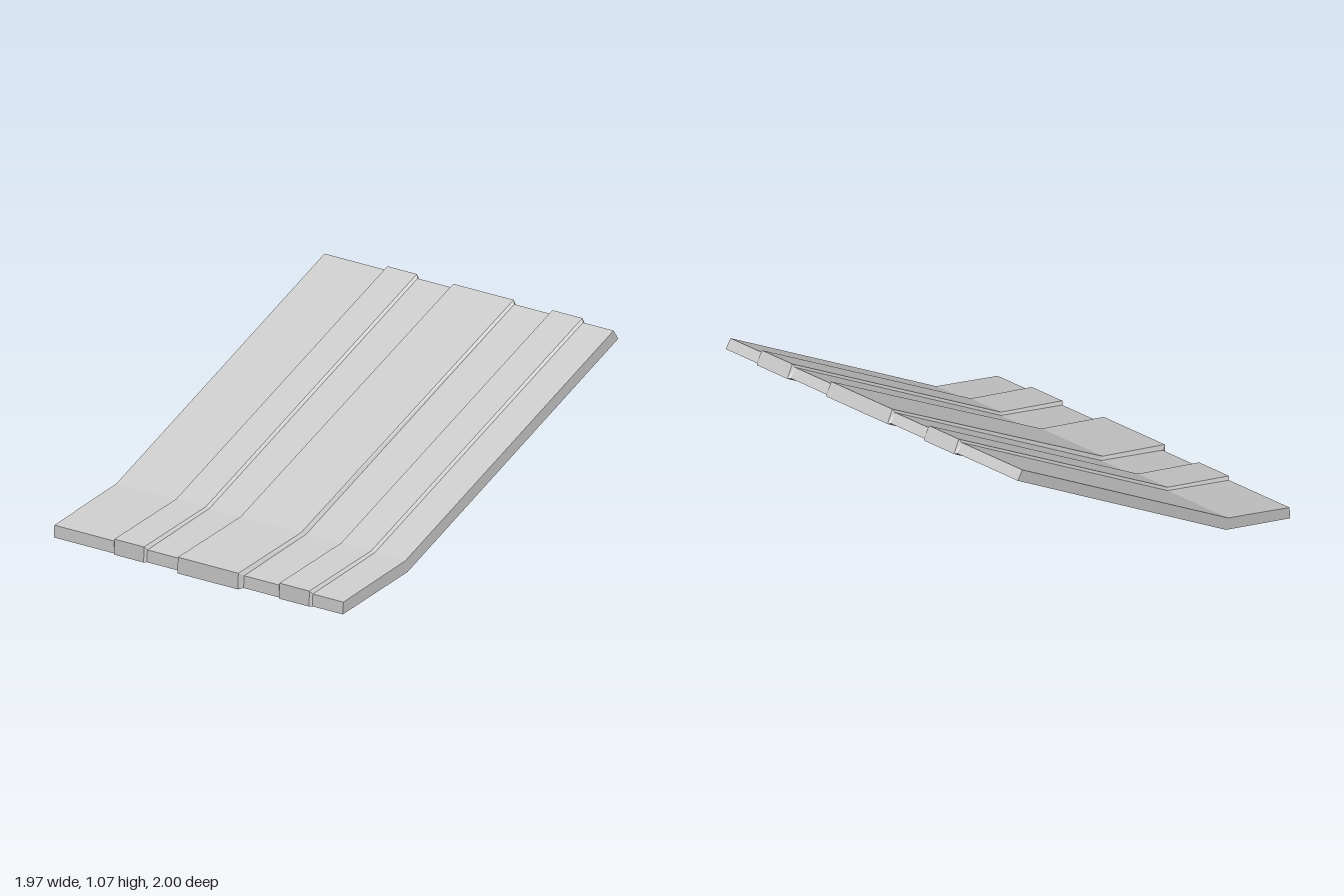
import * as THREE from 'three';

// Side profiles as [z, y]: front bottom, front top, bend top, back top, back bottom, bend bottom
const FLAT = [[0.972, 0.004], [0.968, 0.066], [0.525, 0.186], [-0.957, 1.052], [-0.99, 1.004], [0.51, 0.125]];
const RIB = [[0.982, 0.002], [0.98, 0.081], [0.54, 0.194], [-0.965, 1.07], [-1, 1], [0.514, 0.123]];
const WIDE_RIB = [[1, 0], [0.997, 0.082], [0.55, 0.196], [-0.965, 1.07], [-1, 1], [0.518, 0.121]];

const HALF_WIDTH = 0.983;
const BEVEL = 0.012;
const RIBS = [
  { from: -0.575, to: -0.35, profile: RIB },
  { from: -0.127, to: 0.308, profile: WIDE_RIB },
  { from: 0.547, to: 0.775, profile: RIB },
];

// Lofts a closed slab through the profiles placed along x
function loft(stations) {
  const positions = [];
  const point = (s, i) => {
    const [z, y] = s.profile[i % s.profile.length];
    return [s.x, y, z];
  };
  const quad = (a, b, c, d) => positions.push(...a, ...b, ...c, ...a, ...c, ...d);

  for (let k = 0; k < stations.length - 1; k++) {
    const a = stations[k], b = stations[k + 1];
    for (let i = 0; i < a.profile.length; i++) {
      quad(point(a, i), point(b, i), point(b, i + 1), point(a, i + 1));
    }
  }

  // End caps, split at the bend
  const first = stations[0], last = stations[stations.length - 1];
  for (const corners of [[0, 1, 2, 5], [5, 2, 3, 4]]) {
    quad(...corners.map((i) => point(first, i)));
    quad(...corners.slice().reverse().map((i) => point(last, i)));
  }

  const geometry = new THREE.BufferGeometry();
  geometry.setAttribute('position', new THREE.Float32BufferAttribute(positions, 3));
  geometry.computeVertexNormals();
  return geometry;
}

export function createModel() {
  const group = new THREE.Group();
  group.name = 'ribbedPanel';

  // Bent sloping slab with three bevelled raised ribs
  const stations = [{ x: -HALF_WIDTH, profile: FLAT }];
  for (const { from, to, profile } of RIBS) {
    stations.push(
      { x: from, profile: FLAT },
      { x: from + BEVEL, profile },
      { x: to - BEVEL, profile },
      { x: to, profile: FLAT },
    );
  }
  stations.push({ x: HALF_WIDTH, profile: FLAT });

  const material = new THREE.MeshStandardMaterial({ color: 0xcccccc, flatShading: true });
  const slab = new THREE.Mesh(loft(stations), material);
  slab.name = 'bentSlabWithRibs';
  group.add(slab);
  return group;
}
